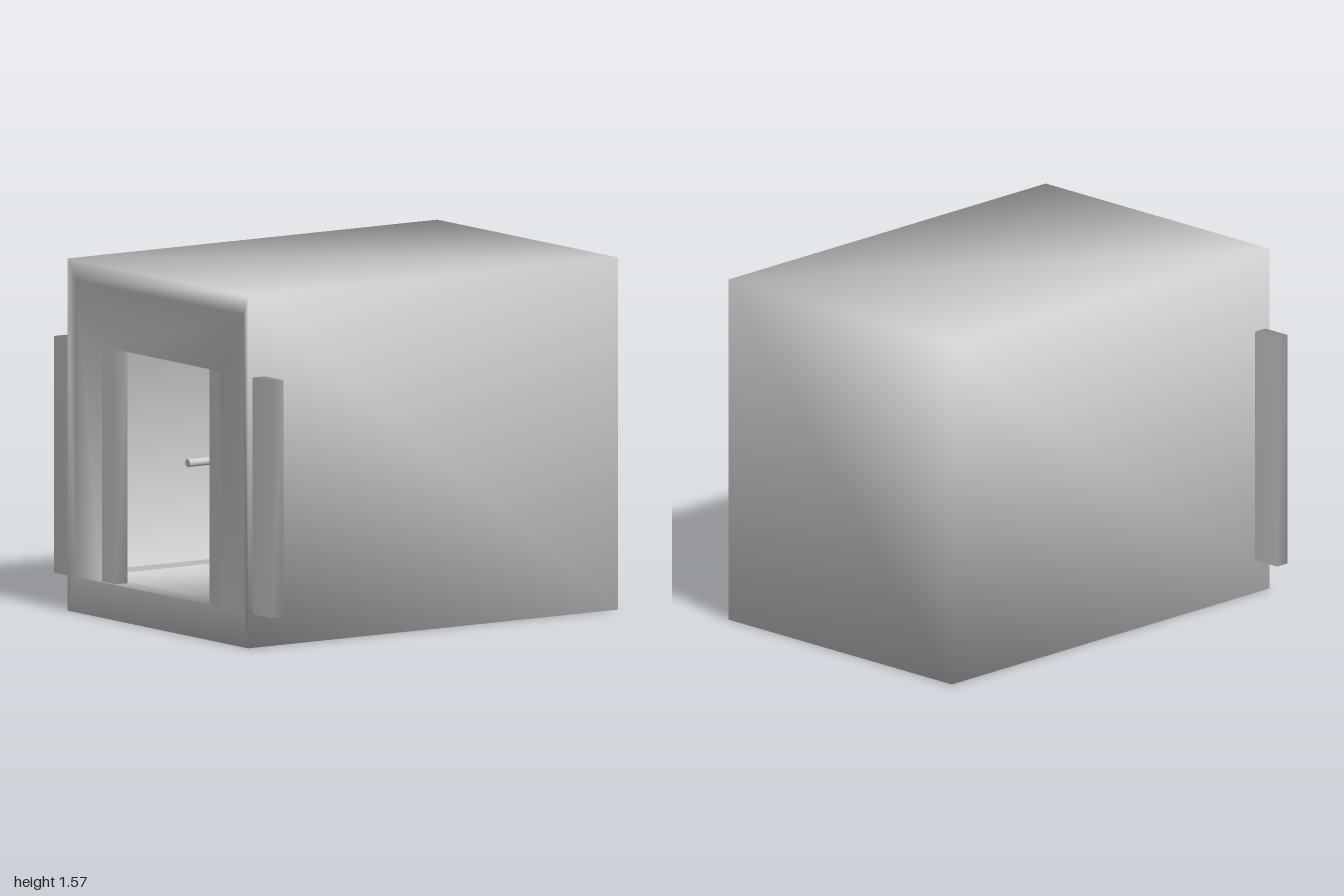
import * as THREE from 'three';
import { mergeVertices } from 'three/addons/utils/BufferGeometryUtils.js';

const grey = new THREE.MeshStandardMaterial({ color: 0xcccccc });

function add(parent, name, geometry, x = 0, y = 0, z = 0) {
  const mesh = new THREE.Mesh(geometry, grey);
  mesh.name = name;
  mesh.position.set(x, y, z);
  parent.add(mesh);
  return mesh;
}

// Box whose corners share averaged normals
function smoothBox(w, h, d) {
  let g = new THREE.BoxGeometry(w, h, d);
  g.deleteAttribute('normal');
  g.deleteAttribute('uv');
  g = mergeVertices(g);
  g.computeVertexNormals();
  return g;
}

// Skin joining rectangular rings [halfWidth, bottom, top, z], capped at both ends
function ringSkin(rings) {
  const points = [], index = [];
  for (const [w, y0, y1, z] of rings) points.push(-w, y0, z, w, y0, z, w, y1, z, -w, y1, z);
  for (let r = 0; r < rings.length - 1; r++) {
    for (let i = 0; i < 4; i++) {
      const a = r * 4 + i, b = r * 4 + (i + 1) % 4;
      index.push(a, b, b + 4, a, b + 4, a + 4);
    }
  }
  const e = (rings.length - 1) * 4;
  index.push(0, 2, 1, 0, 3, 2, e, e + 1, e + 2, e, e + 2, e + 3);
  const g = new THREE.BufferGeometry();
  g.setAttribute('position', new THREE.Float32BufferAttribute(points, 3));
  g.setIndex(index);
  g.computeVertexNormals();
  return g;
}

// Round rail along x with two brackets reaching back to the wall
function handrail(length, gap) {
  const rail = new THREE.Group();
  rail.name = 'handrail';
  add(rail, 'railBar', new THREE.CylinderGeometry(0.018, 0.018, length, 16)).rotation.z = Math.PI / 2;
  for (const s of [-1, 1]) {
    add(rail, 'railBracket', new THREE.CylinderGeometry(0.01, 0.01, gap, 10),
      s * (length / 2 - 0.06), 0, -gap / 2).rotation.x = Math.PI / 2;
  }
  return rail;
}

export function createModel() {
  const model = new THREE.Group();
  model.name = 'liftCar';
  const wall = 0.64, floor = 0.155, ceiling = 1.48, back = -0.95, front = 0.89;

  // Hollow car: outside, front rim, front wall, doorway, interior
  add(model, 'carShell', ringSkin([
    [0.69, 0, 1.57, -1],
    [0.69, 0, 1.57, 1],
    [wall, floor, ceiling, 0.99],
    [0.457, floor, 1.205, 0.985],
    [0.457, floor, 1.205, front],
    [wall, floor, ceiling, front],
    [wall, floor, ceiling, back],
  ]), -0.003);

  for (const s of [-1, 1]) {
    // Sliding door, drawn back through the side wall
    add(model, s > 0 ? 'leftDoor' : 'rightDoor', smoothBox(0.47, 1.055, 0.066), s * 0.595, 0.678, 0.943);
    // Side wall rail and skirting
    const rail = handrail(0.86, 0.06);
    rail.position.set(s * (wall - 0.06), 0.622, 0);
    rail.rotation.y = -s * Math.PI / 2;
    model.add(rail);
    add(model, 'sideSkirting', new THREE.BoxGeometry(0.015, 0.02, front - back), s * (wall - 0.0075), floor + 0.01, (front + back) / 2);
  }

  // Back wall rail and skirting
  const rail = handrail(0.86, 0.06);
  rail.position.set(0, 0.622, back + 0.06);
  model.add(rail);
  add(model, 'backSkirting', new THREE.BoxGeometry(wall * 2, 0.02, 0.015), 0, floor + 0.01, back + 0.0075);

  return model;
}
